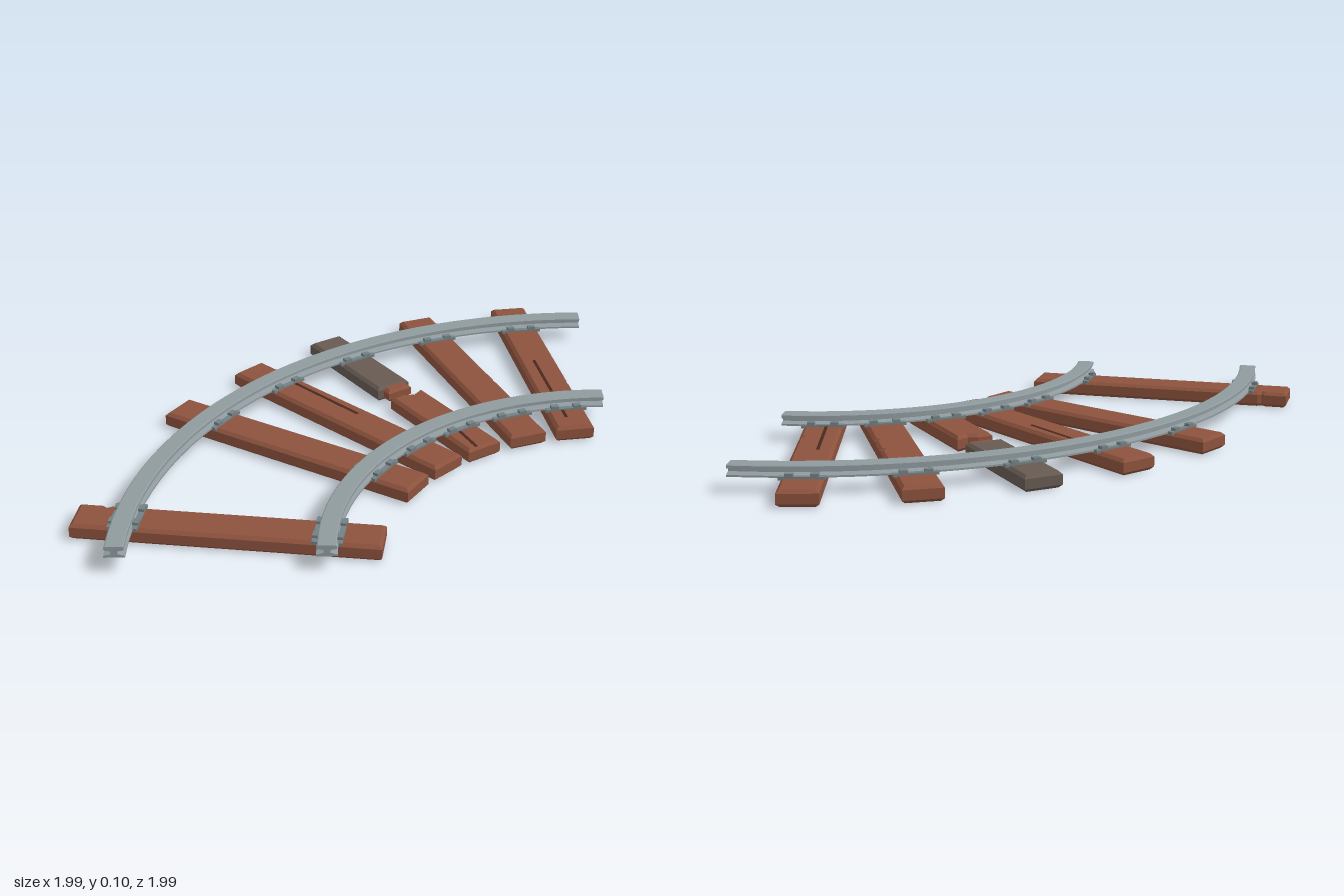
import * as THREE from 'three';
import { toCreasedNormals } from 'three/addons/utils/BufferGeometryUtils.js';

const mat = (name, color) => new THREE.MeshStandardMaterial({ name, color, side: THREE.DoubleSide });
const TIE_TOP = 0.062, HALF_W = 0.075, OUTER_R = 1.81, INNER_R = 1.09;

export function createModel() {
  const steel = mat('railSteel', 0x8f9a9e);
  const plateSteel = mat('plateSteel', 0x728084);
  const wood = mat('redWood', 0x8c523d);
  const greyWood = mat('greyWood', 0x665a52);
  const crackWood = mat('crackWood', 0x48281d);

  // Everything is laid out around the centre of the curve
  const track = new THREE.Group();
  track.name = 'curvedTrack';
  track.position.set(1, 0, 1);

  const add = (parent, name, geo, material, x = 0, y = 0, z = 0) => {
    const mesh = new THREE.Mesh(geo, material);
    mesh.name = name;
    mesh.position.set(x, y, z);
    parent.add(mesh);
    return mesh;
  };

  // Rail: I-section swept through a quarter turn, capped at both ends
  const half = [[0.037, 0.061], [0.037, 0.068], [0.012, 0.075], [0.012, 0.086], [0.034, 0.09], [0.034, 0.101], [0.03, 0.104]];
  const section = [...half, ...half.map(([x, y]) => [-x, y]).reverse()];
  const rail = (name, radius) => {
    const group = new THREE.Group();
    group.name = name;
    const pts = section.map(([x, y]) => new THREE.Vector2(radius + x, y));
    const sweep = new THREE.LatheGeometry([...pts, pts[0].clone()], 32, Math.PI, Math.PI / 2);
    add(group, 'railBar', toCreasedNormals(sweep, 0.4), steel);
    for (const turn of [Math.PI / 2, Math.PI]) {
      add(group, 'railEnd', new THREE.ShapeGeometry(new THREE.Shape(pts)), steel).rotation.y = turn;
    }
    track.add(group);
  };
  rail('outerRail', OUTER_R);
  rail('innerRail', INNER_R);

  // Bevelled timber from radius r0 to r1, with small nicks along one edge
  const timber = (r0, r1, { nicks = [], broken = 0, halfWidth = HALF_W, height = TIE_TOP } = {}) => {
    const b = 0.012, w = halfWidth - b;
    const s = new THREE.Shape();
    s.moveTo(r0 + b, -w);
    for (const n of nicks) {
      s.lineTo(n - 0.022, -w);
      s.lineTo(n, -w + 0.014);
      s.lineTo(n + 0.014, -w);
    }
    s.lineTo(r1 - b, -w);
    if (broken) {
      s.lineTo(r1 - b - broken, -w * 0.3);
      s.lineTo(r1 - b, w * 0.3);
    }
    s.lineTo(r1 - b, w);
    s.lineTo(r0 + b, w);
    const geo = new THREE.ExtrudeGeometry(s, {
      depth: height - 2 * b, bevelEnabled: true, bevelSize: b, bevelThickness: b, bevelSegments: 1,
    });
    geo.rotateX(-Math.PI / 2);
    geo.translate(0, b, 0);
    return geo;
  };

  // Tie plate with four clips holding the rail foot
  const plate = (parent, r) => {
    const group = new THREE.Group();
    group.name = 'tiePlate';
    group.position.x = r;
    add(group, 'basePlate', new THREE.BoxGeometry(0.108, 0.012, 0.165), plateSteel, 0, 0.063, 0);
    for (const sx of [-1, 1]) {
      for (const sz of [-1, 1]) {
        add(group, 'railClip', new THREE.BoxGeometry(0.022, 0.014, 0.03), plateSteel, sx * 0.043, 0.073, sz * 0.045);
      }
    }
    parent.add(group);
  };

  // Thin dark split on the top face, from [radius, side] to [radius, side]
  const crack = (parent, [ra, za], [rb, zb]) => {
    const len = Math.hypot(rb - ra, zb - za);
    const mesh = add(parent, 'woodCrack', new THREE.BoxGeometry(len, 0.003, 0.012), crackWood,
      (ra + rb) / 2, TIE_TOP, (za + zb) / 2);
    mesh.rotation.y = -Math.atan2(zb - za, rb - ra);
  };

  const ties = [
    { angle: 8.1, nicks: [1.9] },
    { angle: 32.8 },
    { angle: 45, crack: [[1.397, 0.025], [1.817, 0.035]] },
    { angle: 56.8, split: true, crack: [[0.91, -0.033], [1.057, -0.012]] },
    { angle: 69.4, nicks: [1.36, 1.5] },
    { angle: 81.7, nicks: [1.29], crack: [[0.98, -0.014], [1.478, -0.016]] },
  ];
  for (const t of ties) {
    const tie = new THREE.Group();
    tie.name = t.split ? 'brokenTie' : 'tie';
    tie.rotation.y = Math.PI - THREE.MathUtils.degToRad(t.angle);
    if (t.split) {
      // Snapped tie: red inner stub, grey outer stub with a raw red tip
      add(tie, 'innerStub', timber(0.9, 1.41, { broken: 0.02 }), wood);
      add(tie, 'outerStub', timber(1.5, 2.005), greyWood);
      add(tie, 'rawTip', timber(1.465, 1.55, { halfWidth: 0.055, height: 0.052 }), wood, 0, 0.004, 0.008);
    } else {
      add(tie, 'tieBeam', timber(0.9, 2.003, { nicks: t.nicks }), wood);
    }
    if (t.crack) crack(tie, ...t.crack);
    plate(tie, INNER_R);
    plate(tie, OUTER_R);
    track.add(tie);
  }

  const model = new THREE.Group();
  model.name = 'curvedRailwayTrack';
  model.add(track);
  return model;
}
